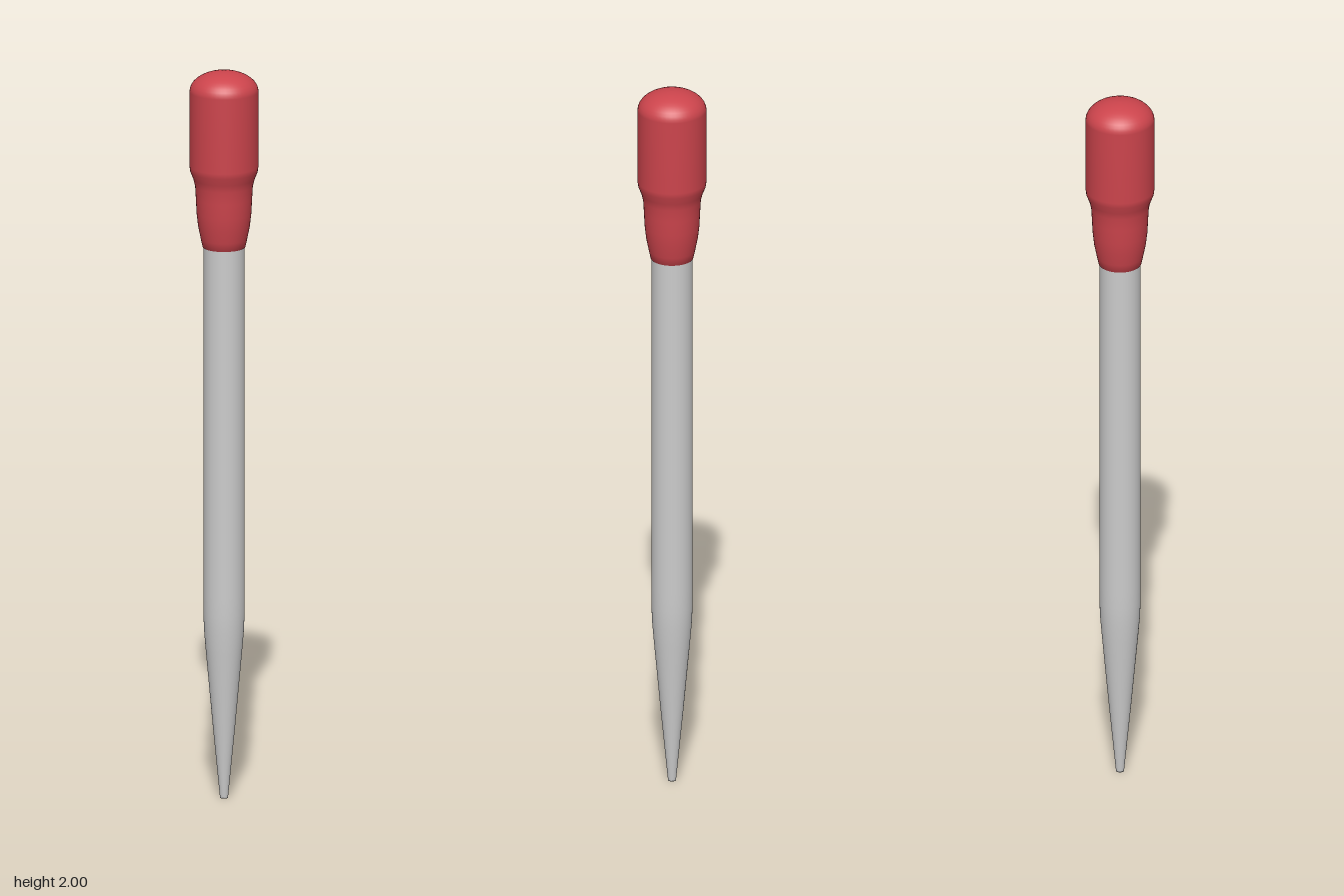
import * as THREE from 'three';

const SEGMENTS = 48;

// Revolve a bottom-to-top list of [radius, height] points
function turned(name, profile, color) {
  const points = profile.map(([r, y]) => new THREE.Vector2(r, y));
  const mesh = new THREE.Mesh(
    new THREE.LatheGeometry(points, SEGMENTS),
    new THREE.MeshStandardMaterial({ color, side: THREE.DoubleSide })
  );
  mesh.name = name;
  return mesh;
}

export function createModel() {
  const group = new THREE.Group();
  group.name = 'dropper';

  // Straight tube narrowing to a fine tip
  group.add(turned('glassTube', [
    [0, 0], [0.011, 0], [0.011, 0.003], [0.03, 0.2], [0.048, 0.4],
    [0.053, 0.46], [0.055, 0.51], [0.055, 0.56], [0.055, 1.56],
  ], 0xcccccc));

  // Rubber bulb: flared collar, shoulder, wide barrel and shallow dome
  const dome = [];
  for (let i = 0; i <= 10; i++) {
    const a = (i / 10) * Math.PI / 2;
    dome.push([0.092 * Math.cos(a), 1.945 + 0.055 * Math.sin(a)]);
  }
  dome[10][0] = 0;
  group.add(turned('rubberBulb', [
    [0.05, 1.517], [0.057, 1.517], [0.062, 1.54], [0.069, 1.575], [0.073, 1.61],
    [0.075, 1.65], [0.077, 1.685], [0.082, 1.705], [0.09, 1.725], [0.092, 1.74],
    ...dome,
  ], 0xcc444c));

  return group;
}
